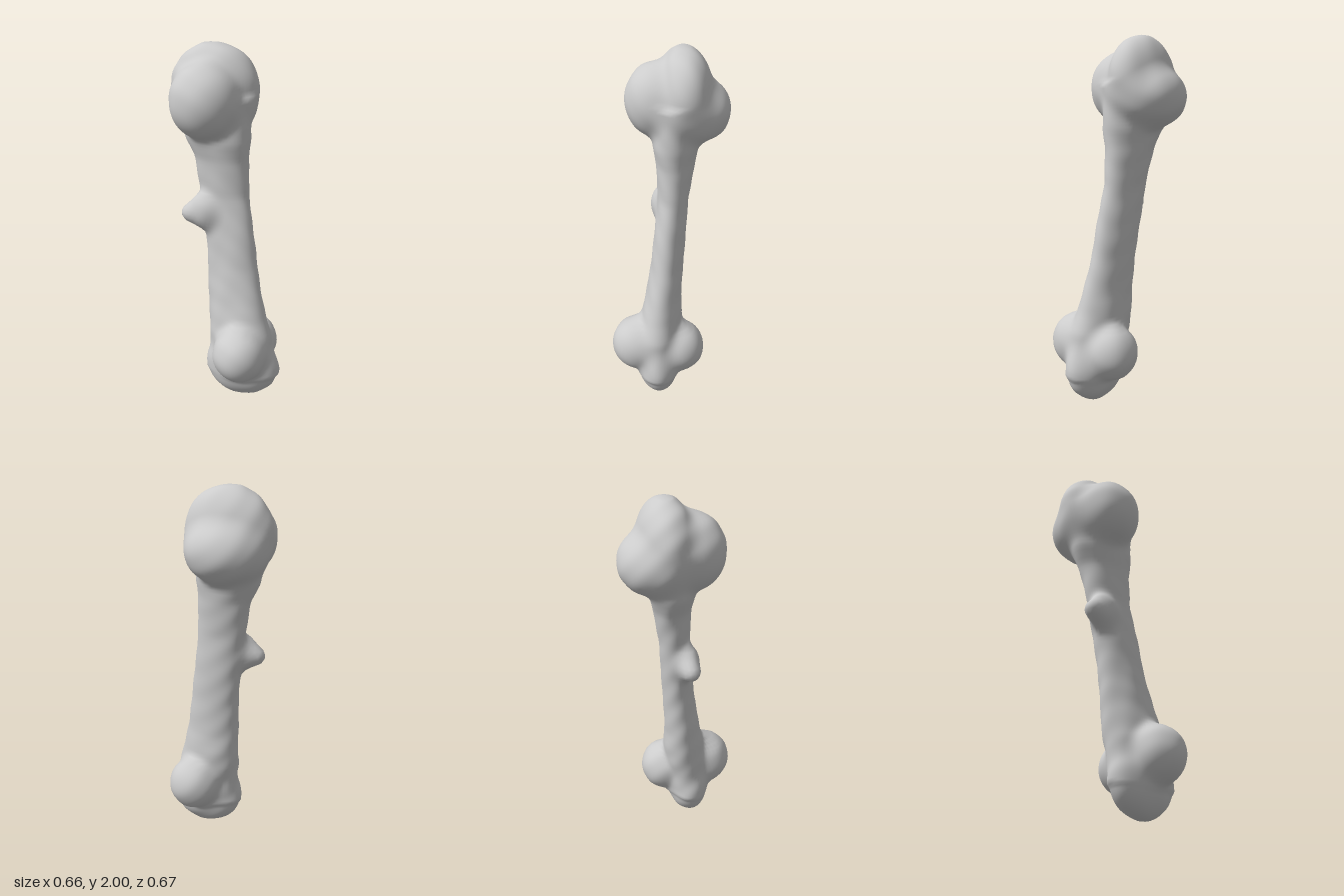
import * as THREE from 'three';

// Shaft stations: y, centre x, centre z, half width in x, half width in z
const SHAFT = [
  [0.2, 0.115, 0.075, 0.19, 0.1],
  [0.4, 0.095, 0.06, 0.185, 0.13],
  [0.5, 0.075, 0.045, 0.17, 0.12],
  [0.6, 0.06, 0.035, 0.16, 0.105],
  [0.8, 0.035, 0.01, 0.145, 0.092],
  [1.0, 0.01, -0.01, 0.14, 0.09],
  [1.2, -0.02, -0.03, 0.14, 0.085],
  [1.4, -0.045, -0.045, 0.155, 0.107],
  [1.5, -0.065, -0.05, 0.185, 0.13],
  [1.65, -0.08, -0.055, 0.2, 0.13],
];

// Rounded lobes: centre x, y, z and radii x, y, z
const LOBES = [
  [-0.09, 1.76, -0.09, 0.24, 0.24, 0.15], // upper crest
  [-0.09, 1.67, -0.15, 0.21, 0.17, 0.185], // upper back knob
  [-0.11, 1.72, 0.04, 0.185, 0.2, 0.175], // upper front knob
  [0.12, 0.32, 0.18, 0.15, 0.16, 0.155], // lower front knob
  [0.14, 0.29, -0.05, 0.145, 0.15, 0.14], // lower back knob
  [0.115, 0.18, 0.075, 0.205, 0.18, 0.12], // lower tip
  [-0.12, 1.1, 0.02, 0.09, 0.1, 0.065], // spur base
  [-0.205, 1.085, 0.02, 0.045, 0.045, 0.045], // spur tip
];

const lerp = THREE.MathUtils.lerp;

function station(y) {
  const last = SHAFT.length - 1;
  if (y <= SHAFT[0][0]) return SHAFT[0];
  if (y >= SHAFT[last][0]) return SHAFT[last];
  const i = SHAFT.findIndex((s) => s[0] > y);
  const a = SHAFT[i - 1], b = SHAFT[i];
  const t = (y - a[0]) / (b[0] - a[0]);
  return a.map((v, k) => lerp(v, b[k], t));
}

// Smooth blend of two distances
function blend(a, b, k) {
  const h = Math.max(k - Math.abs(a - b), 0) / k;
  return Math.min(a, b) - h * h * k * 0.25;
}

// Approximate distance to the bone surface, negative inside
function boneDistance(x, y, z) {
  const [, cx, cz, ax, az] = station(y);
  const u = (x - cx) / ax, w = (z - cz) / az, skew = 0.2;
  const q = Math.sqrt((u * u - 2 * skew * u * w + w * w) / (1 - skew * skew));
  let d = Math.max((q - 1) * az, Math.abs(y - 0.95) - 0.78);
  for (const [lx, ly, lz, rx, ry, rz] of LOBES) {
    const e = Math.hypot((x - lx) / rx, (y - ly) / ry, (z - lz) / rz);
    d = blend(d, (e - 1) * Math.min(rx, ry, rz), 0.04);
  }
  // Slight natural unevenness
  return d + 0.002 * Math.sin(x * 31 + y * 17) * Math.sin(z * 33 - y * 23);
}

// Skin the bone with horizontal rings, closer together at both ends
function boneGeometry(rings, sides) {
  const positions = [], index = [];
  for (let i = 0; i <= rings; i++) {
    const t = i / rings;
    const y = lerp(2 * t, 1 - Math.cos(Math.PI * t), 0.7);
    const [, cx, cz] = station(y);
    // The core leans toward each end's peak
    const lean = THREE.MathUtils.smoothstep(y, 1.65, 1.95);
    const ox = lerp(cx, -0.09, lean), oz = lerp(cz, -0.09, lean);
    if (i === 0 || i === rings) {
      positions.push(ox, y, oz);
      continue;
    }
    for (let j = 0; j < sides; j++) {
      const a = (j / sides) * Math.PI * 2;
      const dx = Math.cos(a), dz = Math.sin(a);
      let lo = 0, hi = 0.6;
      for (let n = 0; n < 22; n++) {
        const m = (lo + hi) / 2;
        if (boneDistance(ox + dx * m, y, oz + dz * m) < 0) lo = m;
        else hi = m;
      }
      positions.push(ox + dx * lo, y, oz + dz * lo);
    }
  }
  const at = (i, j) => 1 + (i - 1) * sides + (j % sides);
  const top = positions.length / 3 - 1;
  for (let j = 0; j < sides; j++) {
    index.push(0, at(1, j), at(1, j + 1));
    index.push(top, at(rings - 1, j + 1), at(rings - 1, j));
    for (let i = 1; i < rings - 1; i++) {
      const a = at(i, j), b = at(i, j + 1), c = at(i + 1, j), d = at(i + 1, j + 1);
      index.push(a, c, b, b, c, d);
    }
  }
  const geometry = new THREE.BufferGeometry();
  geometry.setAttribute('position', new THREE.Float32BufferAttribute(positions, 3));
  geometry.setIndex(index);
  geometry.computeVertexNormals();
  return geometry;
}

export function createModel() {
  const group = new THREE.Group();
  group.name = 'bone';
  const material = new THREE.MeshStandardMaterial({ color: 0xcccccc, roughness: 0.8 });
  const bone = new THREE.Mesh(boneGeometry(120, 64), material);
  bone.name = 'boneBody';
  group.add(bone);
  return group;
}
